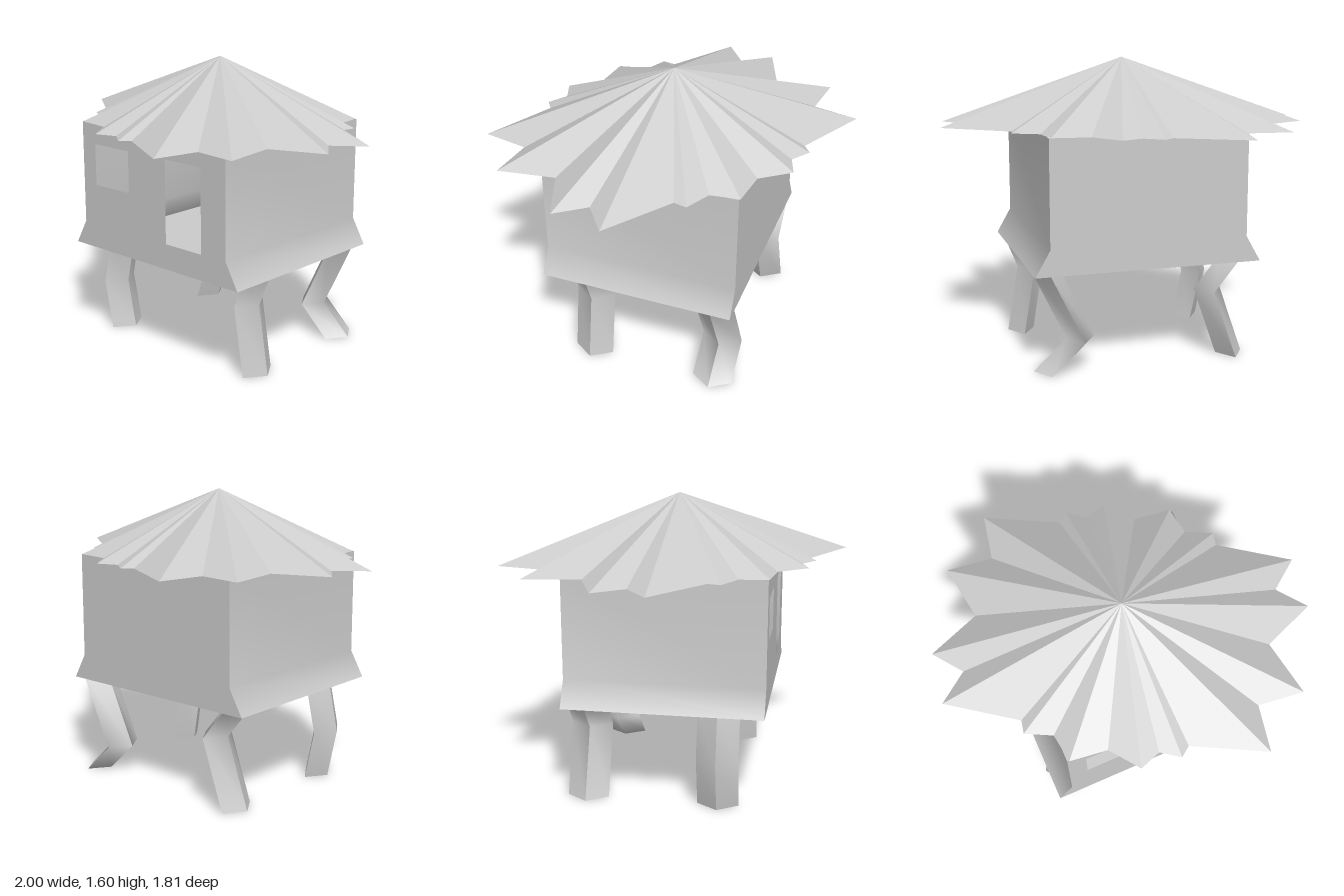
import * as THREE from 'three';
import { mergeGeometries } from 'three/addons/utils/BufferGeometryUtils.js';

const material = new THREE.MeshStandardMaterial({ color: 0xcccccc, side: THREE.DoubleSide });
const flatMaterial = new THREE.MeshStandardMaterial({ color: 0xcccccc, side: THREE.DoubleSide, flatShading: true });

const EAVES = 1.245, BEND = 0.675, FLOOR = 0.535;
const WALL = 0.535, FLARE = 0.615, DEPTH = 0.535;

function add(parent, name, geometry, mat = material) {
  const mesh = new THREE.Mesh(geometry, mat);
  mesh.name = name;
  parent.add(mesh);
  return mesh;
}

// Smooth strip between two polylines: a on the left, b on the right, both top to bottom
function ribbon(a, b) {
  const index = [];
  for (let i = 0; i < a.length - 1; i++) {
    const k = i * 2;
    index.push(k, k + 2, k + 3, k, k + 3, k + 1);
  }
  const geometry = new THREE.BufferGeometry();
  const positions = a.flatMap((p, i) => [...p, ...b[i]]);
  geometry.setAttribute('position', new THREE.Float32BufferAttribute(positions, 3));
  geometry.setIndex(index);
  geometry.computeVertexNormals();
  return geometry;
}

function rectangleHole(x0, x1, y0, y1) {
  return new THREE.Path([[x0, y0], [x0, y1], [x1, y1], [x1, y0]].map(p => new THREE.Vector2(...p)));
}

// Gable outline: straight walls with a flared skirt
function wallShape(holes = []) {
  const half = [[WALL, EAVES], [WALL, BEND], [FLARE, FLOOR]];
  const outline = [...half, ...half.map(([x, y]) => [-x, y]).reverse()];
  const shape = new THREE.Shape(outline.map(p => new THREE.Vector2(...p)));
  shape.holes.push(...holes);
  return new THREE.ShapeGeometry(shape);
}

// Hollow thin-walled hut with open window and door
function createHut() {
  const hut = new THREE.Group();
  hut.name = 'hut';
  const windowHole = rectangleHole(-0.435, -0.17, 0.9, 1.13);
  const doorHole = rectangleHole(0.11, 0.365, 0.675, 1.13);
  add(hut, 'frontWall', wallShape([windowHole, doorHole]).translate(0, 0, DEPTH));
  add(hut, 'backWall', wallShape().rotateY(Math.PI).translate(0, 0, -DEPTH));
  for (const s of [1, -1]) {
    const edge = z => [[s * WALL, EAVES, z], [s * WALL, BEND, z], [s * FLARE, FLOOR, z]];
    add(hut, s > 0 ? 'leftWall' : 'rightWall', ribbon(edge(s * DEPTH), edge(-s * DEPTH)));
  }
  add(hut, 'floor', new THREE.PlaneGeometry(2 * FLARE, 2 * DEPTH).rotateX(Math.PI / 2).translate(0, FLOOR, 0));
  return hut;
}

// Pleated roof: ragged rim joined to one peak; half the rim is turned to make the rest
function createRoof() {
  const roof = new THREE.Group();
  roof.name = 'roof';
  const half = [
    [1, 0], [0.84, 0.12], [0.955, 0.275], [0.67, 0.385], [0.715, 0.69], [0.47, 0.66],
    [0.42, 0.905], [0.055, 0.71], [0, 0.75], [-0.095, 0.68], [-0.21, 0.72], [-0.325, 0.565],
    [-0.525, 0.54], [-0.545, 0.385], [-0.68, 0.315], [-0.665, 0.245],
  ];
  const rim = [...half, ...half.map(([x, z]) => [-x, -z])];
  const positions = rim.flatMap(([x, z], i) => {
    const [nx, nz] = rim[(i + 1) % rim.length];
    return [0, 1.6, 0, nx, EAVES, nz, x, EAVES, z];
  });
  const pleats = new THREE.BufferGeometry();
  pleats.setAttribute('position', new THREE.Float32BufferAttribute(positions, 3));
  pleats.computeVertexNormals();
  add(roof, 'roofPleats', pleats, flatMaterial);

  const underside = new THREE.Shape(rim.map(p => new THREE.Vector2(...p)));
  add(roof, 'roofUnderside', new THREE.ShapeGeometry(underside).rotateX(Math.PI / 2).translate(0, EAVES, 0));
  return roof;
}

// Bent leg with a diamond section that shifts sideways at the knee
function legGeometry(x, z, kneeX, kneeY) {
  const path = [[x, FLOOR], [kneeX, kneeY], [x, 0]];
  const diamond = [[0, 0.112], [0.075, 0], [0, -0.112], [-0.075, 0]];
  const edges = diamond.map(([dx, dz]) => path.map(([px, py]) => [px + dx, py, z + dz]));
  const sides = edges.map((edge, i) => ribbon(edge, edges[(i + 1) % 4]));
  const [p0, p1, p2, p3] = edges.map(edge => edge[2]);
  return mergeGeometries([...sides, ribbon([p0, p3], [p1, p2])]);
}

export function createModel() {
  const model = new THREE.Group();
  model.name = 'hutOnLegs';
  model.add(createHut(), createRoof());
  const legs = {
    frontLeftLeg: [0.533, 0.287, 0.47, 0.38],
    backLeftLeg: [0.533, -0.423, 0.355, 0.165],
    frontRightLeg: [-0.487, 0.287, -0.545, 0.27],
    backRightLeg: [-0.487, -0.423, -0.355, 0.375],
  };
  for (const [name, values] of Object.entries(legs)) add(model, name, legGeometry(...values));
  return model;
}
